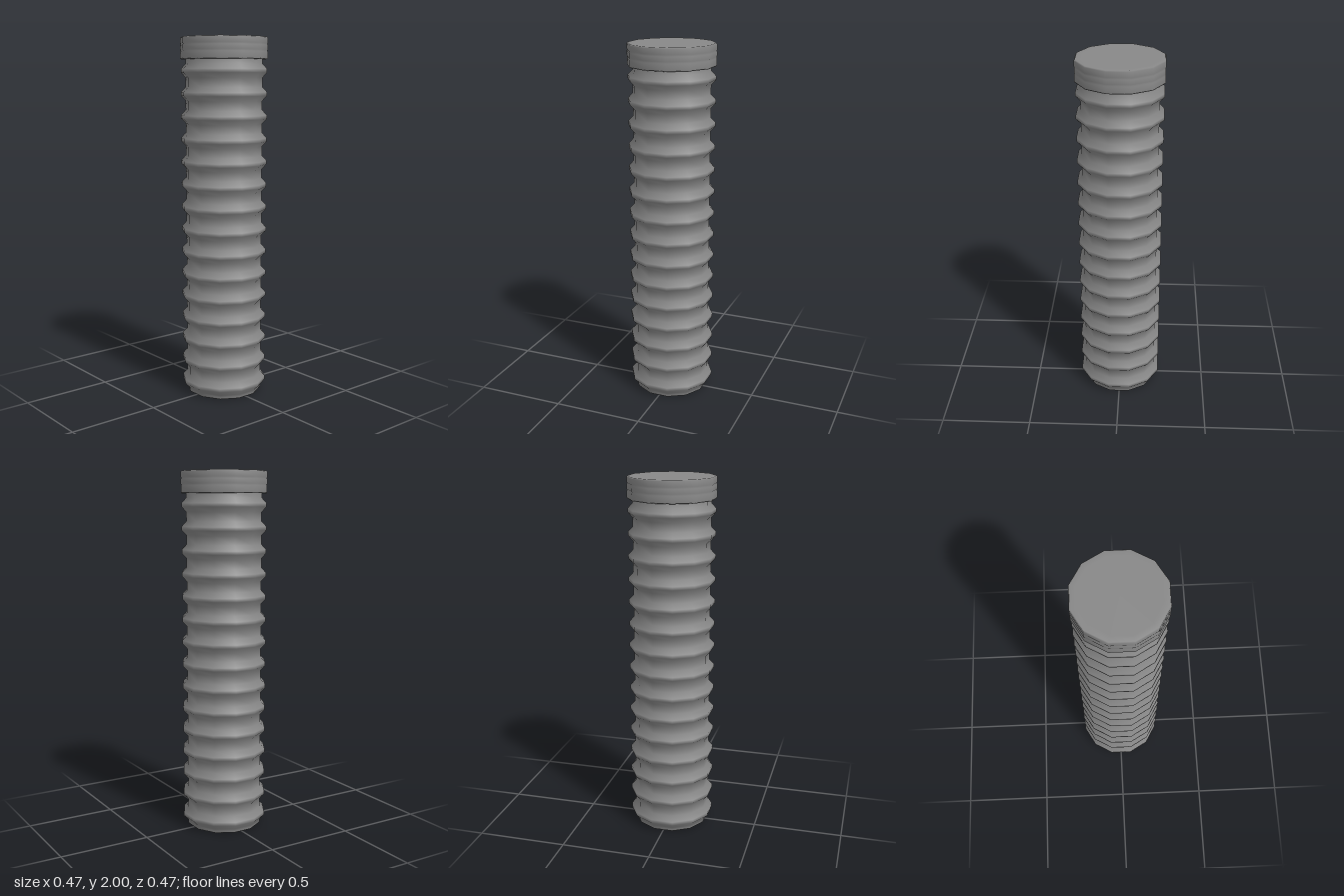
import * as THREE from 'three';

const SIDES = 12;
const TURN = Math.PI / SIDES; // half a side, so flats face the axes
const material = new THREE.MeshStandardMaterial({ color: 0x888888 });

// Twelve-sided turned part from [radius, height] pairs, bottom to top
function turned(name, profile) {
  const points = profile.map(([r, y]) => new THREE.Vector2(r, y));
  const mesh = new THREE.Mesh(new THREE.LatheGeometry(points, SIDES, TURN), material);
  mesh.name = name;
  return mesh;
}

export function createModel() {
  const group = new THREE.Group();
  group.name = 'ribbedColumn';

  // Ribbed shaft: closed base, then the same soft rib repeated up the core
  const core = 0.212, ribs = 15, firstRib = 0.064, pitch = 0.1253;
  const rib = [[core, -0.038], [0.238, -0.01], [0.238, 0.01], [core, 0.038]];
  const shaft = [[0, 0], [0.2, 0], [0.207, 0.003], [core, 0.012]];
  for (let i = 0; i < ribs; i++) {
    for (const [r, dy] of rib) shaft.push([r, firstRib + i * pitch + dy]);
  }
  shaft.push([core, 1.9]);
  group.add(turned('ribbedShaft', shaft));

  // Cap: underside, three bands parted by shallow grooves, soft-edged top
  const cap = [[0.2, 1.88], [0.237, 1.88], [0.241, 1.885]];
  for (const y of [1.925, 1.96]) {
    cap.push([0.241, y - 0.005], [0.238, y], [0.241, y + 0.005]);
  }
  cap.push([0.241, 1.994], [0.236, 2], [0.205, 2], [0, 2]);
  group.add(turned('cap', cap));

  return group;
}
